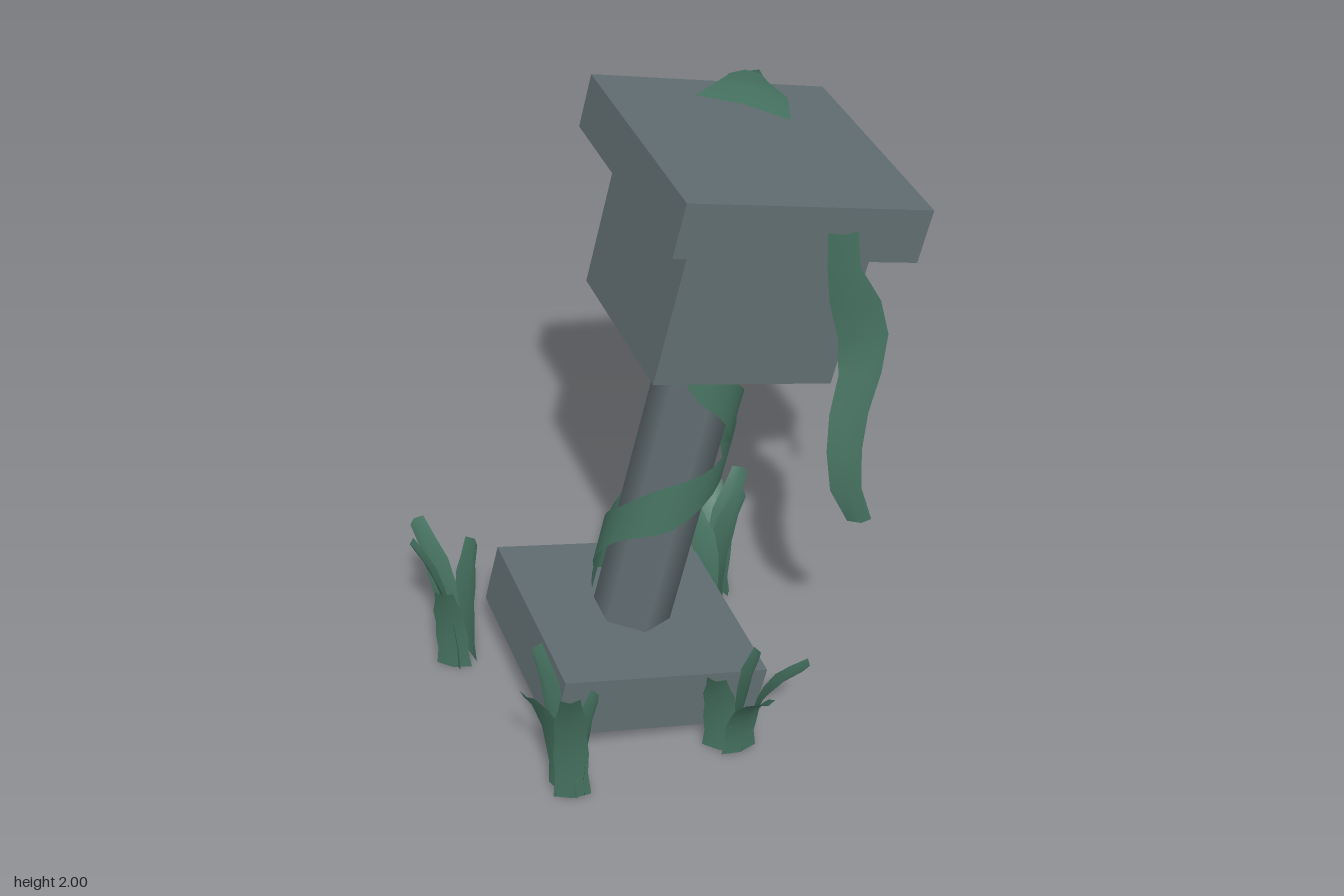
import * as THREE from 'three';

const V = (x, y, z) => new THREE.Vector3(x, y, z);

export function createModel() {
  const stone = new THREE.MeshStandardMaterial({ color: 0x616d71 });
  stone.name = 'greyStone';
  const leaf = new THREE.MeshStandardMaterial({ color: 0x467261, side: THREE.DoubleSide });
  leaf.name = 'mossGreen';

  const model = new THREE.Group();
  model.name = 'overgrownPillar';

  const add = (parent, name, geo, mat) => {
    const mesh = new THREE.Mesh(geo, mat);
    mesh.name = name;
    parent.add(mesh);
    return mesh;
  };

  // Strip through rows of { c: centre, w: half-width vector }, its middle lifted by fold
  const ribbon = (rows, fold = V(0, 0, 0)) => {
    const pos = [], idx = [];
    rows.forEach(({ c, w }, i) => {
      for (const p of [c.clone().sub(w), c.clone().add(fold), c.clone().add(w)]) pos.push(p.x, p.y, p.z);
      if (i === 0) return;
      for (let k = 0; k < 2; k++) {
        const a = (i - 1) * 3 + k, b = a + 3;
        idx.push(a, a + 1, b, a + 1, b + 1, b);
      }
    });
    const geo = new THREE.BufferGeometry();
    geo.setAttribute('position', new THREE.Float32BufferAttribute(pos, 3));
    geo.setIndex(idx);
    geo.computeVertexNormals();
    return geo;
  };

  // Leaning stone lamp: plinth, hexagonal column, head block and cap on one axis
  const pillar = new THREE.Group();
  pillar.name = 'leaningPillar';
  pillar.position.set(-0.12, 0.197, -0.08);
  pillar.rotation.z = -THREE.MathUtils.degToRad(14);
  model.add(pillar);
  const block = (name, w, h, y) =>
    add(pillar, name, new THREE.BoxGeometry(w, h, w), stone).position.set(-0.005, y, 0);
  block('plinth', 0.68, 0.207, 0);
  block('headBlock', 0.565, 0.47, 1.372);
  block('cap', 0.75, 0.166, 1.68);
  add(pillar, 'column', new THREE.CylinderGeometry(0.125, 0.125, 1.06, 6), stone).position.y = 0.62;

  // Two vines winding round the column in opposite directions: [angle, height]
  const windingVine = (name, keys, radius) => {
    const curve = new THREE.CatmullRomCurve3(keys.map(([a, y]) => V(a / 100, y, 0)));
    const rows = [];
    const n = 26;
    for (let i = 0; i <= n; i++) {
      const p = curve.getPoint(i / n);
      const a = THREE.MathUtils.degToRad(p.x * 100);
      rows.push({
        c: V(Math.sin(a) * radius, p.y, Math.cos(a) * radius),
        w: V(0, 0.082 + 0.01 * Math.sin(i * 0.9), 0),
      });
    }
    add(pillar, name, ribbon(rows), leaf);
  };
  windingVine('windingVineA', [[-45, 1.13], [0, 1.03], [45, 0.92], [90, 0.81], [135, 0.62],
    [180, 0.47], [225, 0.33], [265, 0.25]], 0.15);
  windingVine('windingVineB', [[200, 1.13], [170, 1.02], [130, 0.9], [90, 0.8], [45, 0.72],
    [0, 0.63], [-45, 0.55], [-90, 0.42], [-135, 0.28], [-185, 0.2]], 0.157);

  // Hanging vines: rows of [x, y, z, half width]; dir is the direction across
  const hangingVine = (name, dir, fold, rows) =>
    add(model, name, ribbon(rows.map(([x, y, z, h]) =>
      ({ c: V(x, y, z), w: dir.clone().multiplyScalar(h) })), fold), leaf);
  hangingVine('frontVine', V(1, 0, 0.25), V(0, 0, 0.015), [
    [0.385, 1.82, 0.31, 0.04], [0.395, 1.7, 0.31, 0.045], [0.435, 1.58, 0.31, 0.07],
    [0.465, 1.46, 0.31, 0.07], [0.455, 1.34, 0.325, 0.06], [0.42, 1.22, 0.34, 0.055],
    [0.405, 1.1, 0.355, 0.05], [0.41, 0.97, 0.37, 0.045], [0.46, 0.84, 0.37, 0.035]]);
  hangingVine('sideVine', V(0.2, 0, -1), V(0.015, 0, 0), [
    [0.64, 1.77, -0.125, 0.035], [0.635, 1.68, -0.17, 0.08], [0.64, 1.58, -0.205, 0.065],
    [0.65, 1.47, -0.215, 0.065], [0.665, 1.36, -0.2, 0.06], [0.685, 1.25, -0.165, 0.055],
    [0.7, 1.14, -0.15, 0.05], [0.71, 1.02, -0.165, 0.04], [0.705, 0.92, -0.205, 0.035]]);
  hangingVine('backVineLong', V(-1, 0, 0.12), V(0, 0, -0.012), [
    [0.42, 1.9, -0.475, 0.05], [0.43, 1.8, -0.48, 0.09], [0.42, 1.66, -0.48, 0.08],
    [0.37, 1.5, -0.495, 0.08], [0.33, 1.36, -0.515, 0.075], [0.31, 1.22, -0.525, 0.055],
    [0.33, 1.07, -0.535, 0.04]]);
  hangingVine('backVineShort', V(-1, 0, 0.2), V(0, 0, -0.012), [
    [0.1, 1.77, -0.462, 0.03], [0.1, 1.67, -0.475, 0.06], [0.07, 1.55, -0.49, 0.06],
    [0.07, 1.44, -0.5, 0.06], [0.1, 1.33, -0.515, 0.05], [0.08, 1.23, -0.525, 0.035]]);

  // Leaf lying on the cap, where the long back vine starts
  add(model, 'capLeaf', ribbon([
    { c: V(0.32, 1.925, -0.245), w: V(0.12, -0.03, 0.065) },
    { c: V(0.38, 1.925, -0.33), w: V(0.1, -0.025, 0.035) },
    { c: V(0.405, 1.915, -0.41), w: V(0.06, -0.015, 0.02) },
    { c: V(0.42, 1.9, -0.475), w: V(0.05, -0.01, 0) },
  ], V(0, 0.012, 0)), leaf);

  // Grass blade curving from its foot to its tip, blunt at the end
  const blade = (parent, [fx, fz, tx, tz, h], i) => {
    const rows = [];
    const dx = tx - fx, dz = tz - fz, len = Math.hypot(dx, dz) || 1;
    const widths = [0.058, 0.05, 0.054, 0.048, 0.05, 0.036, 0.03];
    widths.forEach((w, k) => {
      const t = k / (widths.length - 1);
      const bend = Math.pow(t, 2.2);
      rows.push({
        c: V(fx + dx * bend, h * (1.12 * t - 0.12 * t * t), fz + dz * bend),
        w: V(-dz / len * w, 0, dx / len * w),
      });
    });
    const fold = V(dx, 0, dz).multiplyScalar(0.014 / len);
    add(parent, 'blade' + (i + 1), ribbon(rows, fold), leaf);
  };

  // Four clumps by the plinth corners: blades as [foot x, foot z, tip x, tip z, height]
  const clumps = {
    grassFrontRight: [[-0.47, 0.32, -0.59, 0.39, 0.51], [-0.45, 0.35, -0.48, 0.46, 0.51],
      [-0.42, 0.32, -0.36, 0.32, 0.36], [-0.46, 0.3, -0.51, 0.25, 0.54]],
    grassFrontLeft: [[0.05, 0.32, 0.01, 0.38, 0.36], [0.1, 0.35, 0.11, 0.53, 0.36],
      [0.14, 0.32, 0.28, 0.43, 0.37], [0.11, 0.3, 0.17, 0.31, 0.35]],
    grassBackRight: [[-0.6, -0.38, -0.67, -0.49, 0.51], [-0.6, -0.36, -0.71, -0.38, 0.51],
      [-0.62, -0.34, -0.65, -0.29, 0.36], [-0.57, -0.38, -0.52, -0.4, 0.45]],
    grassBackLeft: [[0.31, -0.38, 0.43, -0.46, 0.43], [0.3, -0.37, 0.36, -0.52, 0.36],
      [0.28, -0.34, 0.25, -0.42, 0.34], [0.3, -0.36, 0.4, -0.38, 0.4]],
  };
  for (const [name, blades] of Object.entries(clumps)) {
    const clump = new THREE.Group();
    clump.name = name;
    blades.forEach((b, i) => blade(clump, b, i));
    model.add(clump);
  }
  return model;
}
